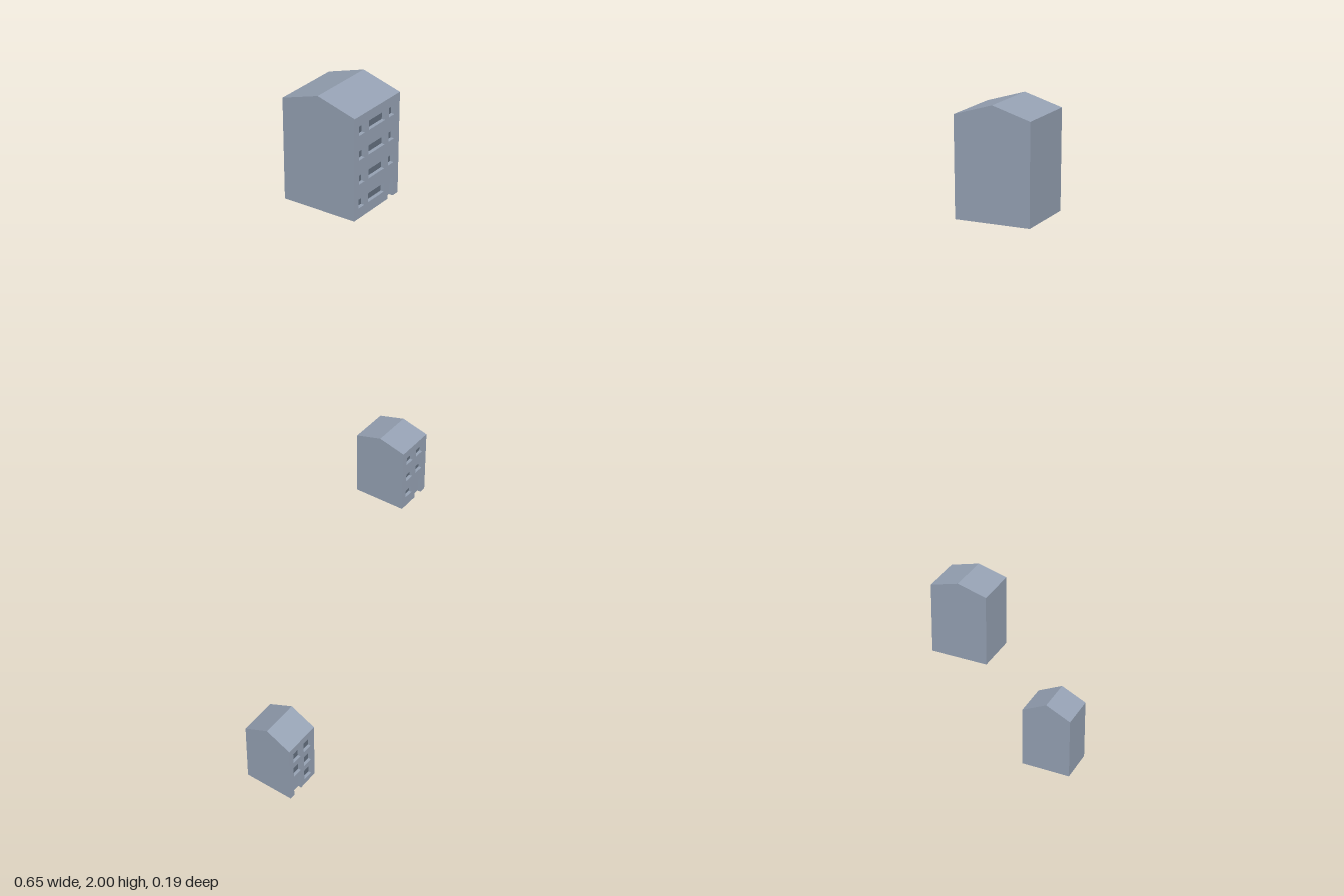
import * as THREE from 'three';

const RECESS = 0.01; // depth of windows and doors
const wallMaterial = new THREE.MeshStandardMaterial({ color: 0x96a2b4, flatShading: true });
const glassMaterial = new THREE.MeshStandardMaterial({ color: 0x64707f });

function polygon(points) {
  return new THREE.Shape(points.map(([x, y]) => new THREE.Vector2(x, y)));
}

function createHouse(name, h) {
  const house = new THREE.Group();
  house.name = name;
  const [x0, x1] = h.x, [z0, z1] = h.z;
  const inner = z1 - RECESS;

  // Body and gable roof: side profile (z, y) swept along x
  const profile = polygon([
    [z0, h.base], [inner, h.base], [inner, h.eave], [z1, h.eave], [h.ridge, h.top], [z0, h.eave],
  ]);
  const bodyGeometry = new THREE.ExtrudeGeometry(profile, { depth: x1 - x0, bevelEnabled: false });
  bodyGeometry.rotateY(-Math.PI / 2).translate(x1, 0, 0);
  const body = new THREE.Mesh(bodyGeometry, wallMaterial);
  body.name = 'bodyAndRoof';

  // Front wall: doorway notched from the ground, windows as holes with dark panes
  const [d0, d1] = h.columns[h.doorColumn];
  const doorTop = h.rows[0][1];
  const wall = polygon([
    [x0, h.base], [d0, h.base], [d0, doorTop], [d1, doorTop], [d1, h.base],
    [x1, h.base], [x1, h.eave], [x0, h.eave],
  ]);
  h.rows.forEach(([y0, y1], row) => {
    h.columns.forEach(([a, b], column) => {
      if (row === 0 && column === h.doorColumn) return;
      wall.holes.push(polygon([[a, y0], [a, y1], [b, y1], [b, y0]]));
      const pane = new THREE.Mesh(new THREE.PlaneGeometry(b - a, y1 - y0), glassMaterial);
      pane.position.set((a + b) / 2, (y0 + y1) / 2, inner + 0.001);
      pane.name = 'windowPane';
      house.add(pane);
    });
  });
  const wallGeometry = new THREE.ExtrudeGeometry(wall, { depth: RECESS, bevelEnabled: false });
  wallGeometry.translate(0, 0, inner);
  const frontWall = new THREE.Mesh(wallGeometry, wallMaterial);
  frontWall.name = 'frontWall';

  house.add(body, frontWall);
  return house;
}

export function createModel() {
  const model = new THREE.Group();
  model.name = 'houses';

  model.add(
    // Low house, door on its right
    createHouse('lowHouse', {
      x: [-0.326, -0.212], z: [-0.096, 0.056], ridge: -0.02,
      base: 0, eave: 0.19, top: 0.227,
      columns: [[-0.309, -0.277], [-0.261, -0.229]],
      rows: [[0.018, 0.055], [0.074, 0.111], [0.13, 0.167]],
      doorColumn: 0,
    }),
    // Middle house, door on its left
    createHouse('middleHouse', {
      x: [0.211, 0.325], z: [-0.096, 0.056], ridge: -0.02,
      base: 0.691, eave: 0.879, top: 0.9,
      columns: [[0.228, 0.258], [0.274, 0.305]],
      rows: [[0.721, 0.744], [0.777, 0.8], [0.833, 0.856]],
      doorColumn: 1,
    }),
    // Tall house with a wide middle window on each floor
    createHouse('tallHouse', {
      x: [-0.087, 0.087], z: [-0.096, 0.096], ridge: -0.001,
      base: 1.728, eave: 1.972, top: 2,
      columns: [[-0.07, -0.048], [-0.033, 0.03], [0.045, 0.067]],
      rows: [[1.753, 1.775], [1.811, 1.833], [1.869, 1.891], [1.927, 1.949]],
      doorColumn: 2,
    }),
  );
  return model;
}
